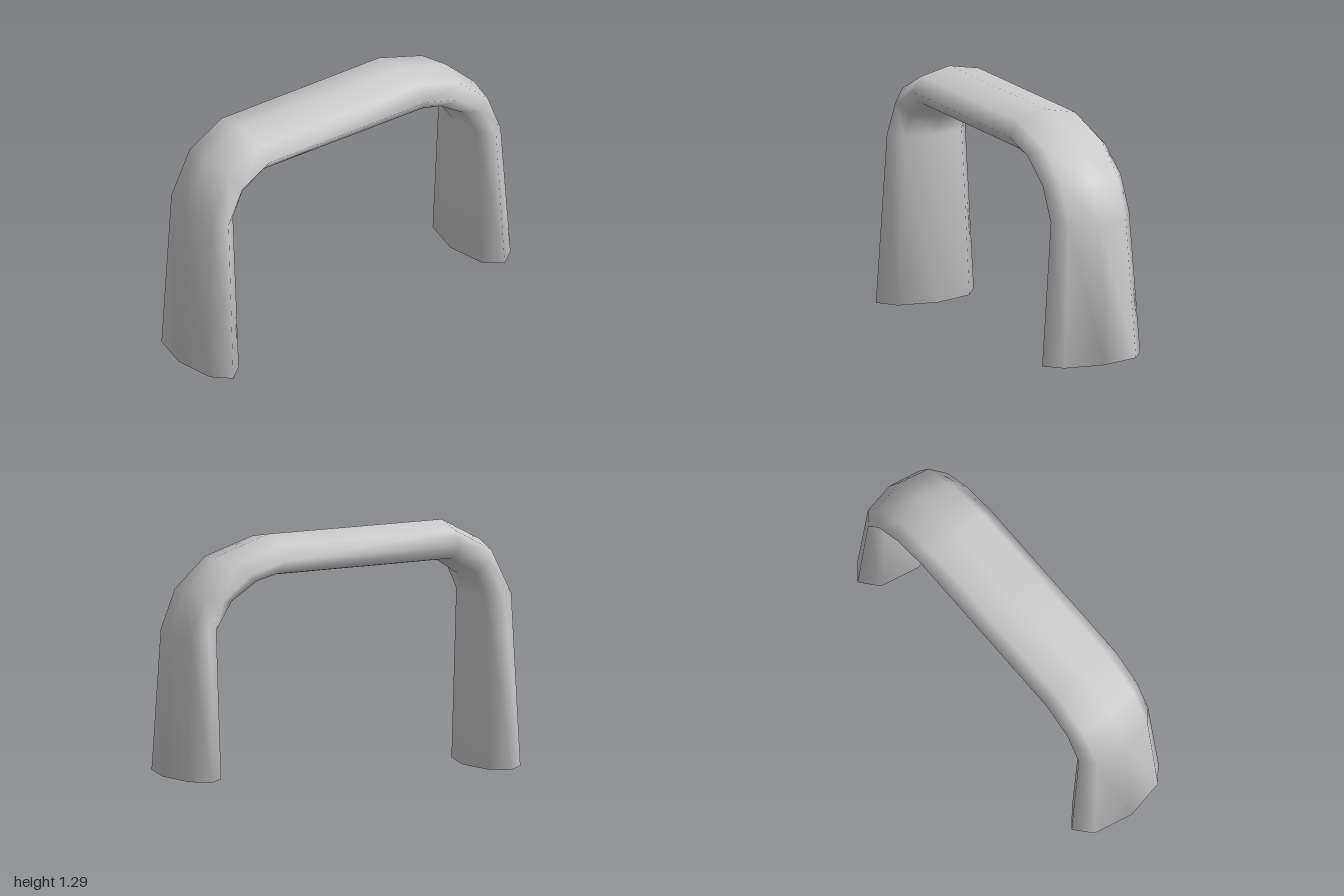
import * as THREE from 'three';

// Stations along the arch: outer x, outer y, inner x, inner y, half depth
const STATIONS = [
  [-1.0, 0.01, -0.73, 0.0, 0.29],
  [-0.96, 0.91, -0.745, 0.89, 0.232],
  [-0.83, 1.17, -0.7, 1.0, 0.232],
  [-0.61, 1.29, -0.58, 1.08, 0.232],
  [0.39, 1.29, 0.43, 1.075, 0.232],
  [0.7, 1.19, 0.51, 1.06, 0.232],
  [0.88, 1.02, 0.65, 0.98, 0.232],
  [0.96, 0.8, 0.74, 0.85, 0.232],
  [1.0, 0.07, 0.725, 0.07, 0.29],
];

// Flattened octagon: share of the way from outer to inner, share of half depth
const SECTION = [
  [0, 0], [0.16, 0.73], [0.5, 1], [0.84, 0.73],
  [1, 0], [0.84, -0.73], [0.5, -1], [0.16, -0.73],
];

// Lofts the section through the stations; caps share the ring vertices for soft ends
function loftArch() {
  const n = SECTION.length;
  const positions = [];
  const index = [];
  for (const [ox, oy, ix, iy, half] of STATIONS) {
    for (const [t, s] of SECTION) {
      positions.push(ox + (ix - ox) * t, oy + (iy - oy) * t, half * s);
    }
  }
  for (let i = 0; i < STATIONS.length - 1; i++) {
    for (let j = 0; j < n; j++) {
      const a = i * n + j;
      const b = i * n + ((j + 1) % n);
      index.push(a, b, a + n, b, b + n, a + n);
    }
  }
  // Foot caps
  const end = (STATIONS.length - 1) * n;
  for (let j = 1; j < n - 1; j++) {
    index.push(0, j + 1, j);
    index.push(end, end + j, end + j + 1);
  }
  const geometry = new THREE.BufferGeometry();
  geometry.setAttribute('position', new THREE.Float32BufferAttribute(positions, 3));
  geometry.setIndex(index);
  geometry.computeVertexNormals();
  return geometry;
}

export function createModel() {
  const group = new THREE.Group();
  group.name = 'archHandle';
  const handle = new THREE.Mesh(loftArch(), new THREE.MeshStandardMaterial({ color: 0xcccccc }));
  handle.name = 'handle';
  group.add(handle);
  return group;
}
